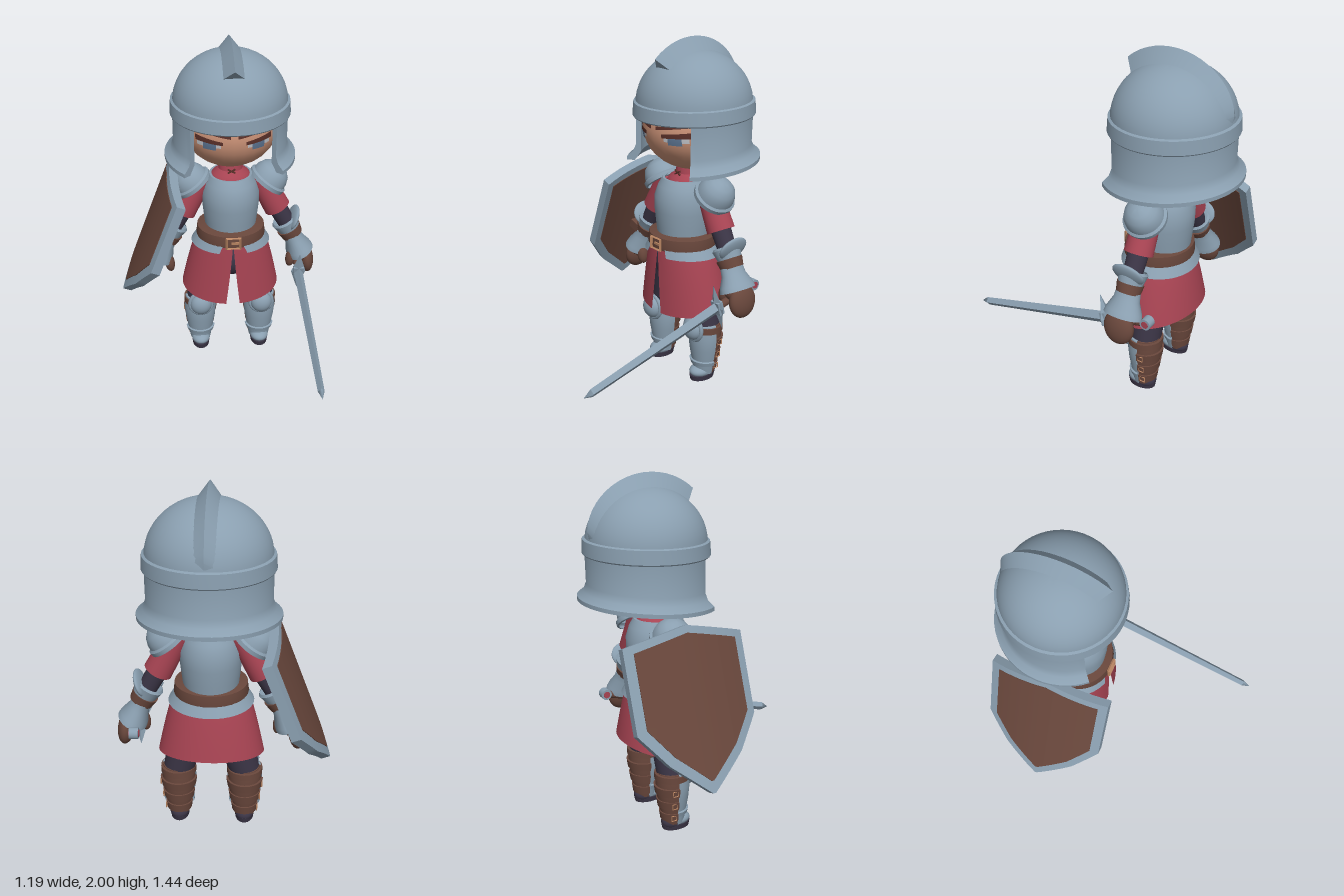
import * as THREE from 'three';
import { toCreasedNormals } from 'three/addons/utils/BufferGeometryUtils.js';
import { ParametricGeometry } from 'three/addons/geometries/ParametricGeometry.js';

const mat = (name, color) => new THREE.MeshStandardMaterial({ name, color, side: THREE.DoubleSide });
const V = (x, y, z) => new THREE.Vector3(x, y, z);
const mix = THREE.MathUtils.lerp;

export function createModel() {
  const steel = mat('steel', 0x8a9fb0), red = mat('red cloth', 0xa84453), leather = mat('leather', 0x69473c);
  const navy = mat('dark cloth', 0x3b3546), skin = mat('skin', 0xcb9277), copper = mat('copper', 0xb58260);
  const white = mat('eye white', 0xc4c6cc), iris = mat('iris', 0x5f7896), hair = mat('brow brown', 0x5a3029);

  const model = new THREE.Group();
  model.name = 'knight';
  const group = (name, x, y, z, parent = model) => {
    const g = new THREE.Group();
    g.name = name;
    g.position.set(x, y, z);
    parent.add(g);
    return g;
  };
  const add = (parent, name, geo, material, x = 0, y = 0, z = 0) => {
    const m = new THREE.Mesh(geo, material);
    m.name = name;
    m.position.set(x, y, z);
    parent.add(m);
    return m;
  };
  // Turned profile of [radius, height] pairs, optionally only part of the way round
  const lathe = (pts, start = 0, sweep = Math.PI * 2, segs = 40, crease = 0.6) =>
    toCreasedNormals(new THREE.LatheGeometry(pts.map(p => new THREE.Vector2(...p)), segs, start, sweep), crease);
  const ball = (parent, name, material, c, r) => {
    const m = add(parent, name, new THREE.SphereGeometry(1, 28, 18), material, ...c);
    m.scale.set(...r);
    return m;
  };
  const surface = (fn, nu, nv, crease = 0.6) => toCreasedNormals(new ParametricGeometry(fn, nu, nv), crease);
  // Points a mesh's own y axis from p towards q
  const aim = (mesh, p, q) => {
    mesh.position.copy(p);
    mesh.quaternion.setFromUnitVectors(V(0, 1, 0), q.clone().sub(p).normalize());
    return mesh;
  };
  const limb = (parent, name, material, p, q, r0, r1) => {
    const len = p.distanceTo(q);
    return aim(add(parent, name, lathe([[0, 0], [r0, 0], [r1, len], [0, len]], 0, Math.PI * 2, 24), material), p, q);
  };
  const frame = (parent, name, x, y, z, r, tube) => {
    const geo = new THREE.TorusGeometry(r, tube, 4, 4).rotateZ(Math.PI / 4);
    return add(parent, name, toCreasedNormals(geo, 0.3), copper, x, y, z);
  };

  // ---- Head and face ----
  const head = group('head', 0.08, 0, -0.34);
  ball(head, 'face', skin, [0, 1.5, 0], [0.28, 0.245, 0.29]);
  const patch = (name, material, s, a, b, lift) => add(head, name, surface((u, v, t) => {
    const x = s * mix(a[0], b[0], u), y = mix(mix(a[1], b[1], u), mix(a[2], b[2], u), v);
    t.set(x, y, lift + 0.29 * Math.sqrt(1 - (x / 0.28) ** 2 - ((y - 1.5) / 0.245) ** 2));
  }, 8, 3), material);
  for (const s of [-1, 1]) {
    ball(head, 'ear', skin, [s * 0.275, 1.41, 0], [0.03, 0.055, 0.04]);
    patch('eyeWhite', white, s, [0.075, 1.46, 1.495], [0.2, 1.462, 1.505], 0.002);
    patch('iris', iris, s, [0.1, 1.445, 1.5], [0.17, 1.445, 1.5], 0.004);
    patch('upperLid', hair, s, [0.065, 1.48, 1.5], [0.21, 1.49, 1.522], 0.006);
    patch('brow', hair, s, [0.02, 1.518, 1.536], [0.22, 1.55, 1.565], 0.004);
  }

  // ---- Helmet ----
  const dome = [];
  for (let i = 0; i <= 14; i++) {
    const a = i / 14 * Math.PI / 2;
    dome.push([0.328 * Math.cos(a), 1.63 + 0.3 * Math.sin(a)]);
  }
  add(head, 'helmetDome', lathe(dome, 0, Math.PI * 2, 48), steel);
  const shear = (geo, k) => geo.applyMatrix4(new THREE.Matrix4().set(1, 0, 0, 0, 0, 1, -k, 0, 0, 0, 1, 0, 0, 0, 0, 1));
  add(head, 'helmetBand', shear(lathe([[0.27, 1.572], [0.34, 1.568], [0.345, 1.575], [0.34, 1.648], [0.322, 1.656]],
    0, Math.PI * 2, 48), 0.035), steel);
  const guard = [[0.335, 1.3], [0.38, 1.303], [0.38, 1.325], [0.345, 1.355], [0.329, 1.395], [0.33, 1.59],
    [0.3, 1.59], [0.3, 1.35], [0.335, 1.3]];
  const open = 0.81;
  add(head, 'helmetGuard', shear(lathe(guard, open, Math.PI * 2 - 2 * open, 44), 0.083), steel);
  for (const s of [-1, 1]) {
    const cap = new THREE.ShapeGeometry(new THREE.Shape(guard.map(p => new THREE.Vector2(...p))));
    add(head, 'cheekEdge', shear(cap.rotateY(s > 0 ? open - Math.PI / 2 : -open - Math.PI / 2), 0.083), steel);
  }
  // Ridged crest running over the dome, with an upright front end
  add(head, 'crest', surface((u, v, t) => {
    const w = Math.max(0, v - 1 / 20) / 0.95, a = 0.79 + w * 2.2, side = 2 * u - 1;
    const h = v === 0 || Math.abs(side) > 0.5 ? -0.012 : 0.074 * Math.max(0, Math.cos(w * Math.PI / 2)) ** 0.6;
    t.set(side * 0.062, 1.63 + (0.3 + h) * Math.sin(a), (0.328 + h) * Math.cos(a));
  }, 2, 20), steel);

  // ---- Torso ----
  const body = group('body', 0.08, 0, 0);
  const ring = (name, pts, material, z, sz) => {
    const m = add(body, name, lathe(pts), material, 0, 0, z);
    m.scale.z = sz;
    return m;
  };
  ring('shirt', [[0.14, 0.86], [0.155, 1.05], [0.13, 1.17], [0.105, 1.212], [0.07, 1.235], [0.062, 1.29]], red, -0.3, 0.92);
  ring('breastplate', [[0.15, 0.86], [0.158, 0.93], [0.168, 1.02], [0.17, 1.1], [0.15, 1.165], [0.125, 1.208],
    [0.112, 1.208]], steel, -0.285, 1.05);
  ring('belt', [[0.14, 0.895], [0.14, 0.81], [0.203, 0.812], [0.206, 0.83], [0.2, 0.883], [0.14, 0.895]], leather, -0.27, 0.94);
  frame(body, 'beltBuckle', 0, 0.847, -0.073, 0.056, 0.01).scale.y = 0.85;
  add(body, 'bucklePin', new THREE.BoxGeometry(0.05, 0.012, 0.01), copper, 0.012, 0.847, -0.075);
  for (const s of [-1, 1]) {
    add(body, 'collarLace', new THREE.BoxGeometry(0.05, 0.008, 0.008), hair, 0, 1.24, -0.228).rotation.z = s * 0.5;
  }
  // Open-fronted flared cloth and plates; v runs from the waist down
  const flare = (name, material, g0, g1, r0, r1, z0, z1, yTop, yLow, tilt, power) => add(body, name, surface((u, v, t) => {
    const gap = mix(g0, g1, v), a = gap + u * (Math.PI * 2 - 2 * gap), k = v ** power;
    t.set(Math.sin(a) * mix(r0[0], r1[0], k), mix(yTop, yLow - tilt * Math.cos(a), v),
      mix(z0, z1, k) + Math.cos(a) * mix(r0[1], r1[1], k));
  }, 48, 10), material);
  flare('skirt', red, 0.005, 0.14, [0.195, 0.182], [0.295, 0.222], -0.27, -0.3, 0.83, 0.465, 0.045, 0.75);
  flare('hipPlates', steel, 0.3, 0.36, [0.203, 0.19], [0.236, 0.212], -0.27, -0.278, 0.825, 0.772, -0.005, 1);
  ball(body, 'hips', navy, [0, 0.67, -0.29], [0.19, 0.14, 0.155]);

  for (const s of [-1, 1]) {
    const side = s > 0 ? 'left' : 'right';
    const P = (x, y, z = -0.31) => V(s * x, y, z);

    // ---- Arm ----
    const arm = group(side + 'Arm', 0, 0, 0, body);
    limb(arm, 'sleeve', red, P(0.284, 0.955), P(0.16, 1.19), 0.08, 0.07);
    limb(arm, 'undersleeve', navy, P(0.355, 0.83), P(0.25, 1.02), 0.052, 0.06);
    const pauldron = lathe([[0.108, -0.015], [0.119, -0.012], [0.121, 0.012], [0.108, 0.022], [0.104, 0.05], [0.088, 0.085],
      [0.058, 0.112], [0.025, 0.124], [0, 0.126]], 0, Math.PI * 2, 32, 0.7);
    aim(add(arm, 'pauldron', pauldron, steel), P(0.22, 1.137), P(0.294, 1.237));
    const bracer = lathe([[0.05, 0], [0.062, 0], [0.07, 0.05], [0.083, 0.1], [0.072, 0.112]], 0, Math.PI * 2, 24);
    aim(add(arm, 'bracer', bracer, steel), P(0.382, 0.775), P(0.312, 0.9));
    const wing = ball(arm, 'elbowWing', steel, [0, 0, 0], [0.022, 0.075, 0.095]);
    aim(wing, P(0.385, 0.878), P(0.415, 0.95));
    limb(arm, 'wristStrap', leather, P(0.384, 0.763), P(0.358, 0.81), 0.066, 0.075);
    const cuff = lathe([[0.06, 0], [0.086, 0], [0.08, 0.03], [0.058, 0.09], [0.054, 0.135], [0, 0.135]], 0, Math.PI * 2, 24);
    aim(add(arm, 'gauntletCuff', cuff, steel), P(0.435, 0.647), P(0.378, 0.77)).scale.z = 1.3;
    ball(arm, 'palm', leather, [s * 0.435, 0.645, -0.31], [0.062, 0.06, 0.085]);
    ball(arm, 'fingers', leather, [s * 0.473, 0.595, -0.31], [0.047, 0.098, 0.09]).rotation.z = s * 0.12;
    ball(arm, 'thumb', leather, [s * 0.372, 0.618, -0.27], [0.03, 0.06, 0.036]).rotation.z = s * -0.15;

    // ---- Leg ----
    const leg = group(side + 'Leg', s * 0.188, 0, -0.302, body);
    limb(leg, 'thigh', navy, V(0, 0.33, 0), V(-s * 0.085, 0.67, 0.01), 0.085, 0.115);
    const shin = [[0.058, 0.04], [0.07, 0.11], [0.086, 0.2], [0.094, 0.28], [0.086, 0.36], [0.07, 0.365]];
    const grown = shin.map(([r, y]) => [r + 0.006, y]);
    add(leg, 'greave', lathe(grown, -Math.PI / 2, Math.PI, 20), steel);
    add(leg, 'bootBack', lathe(shin, Math.PI / 2, Math.PI, 20), leather);
    [[0.09, 0.066], [0.17, 0.08], [0.255, 0.093]].forEach(([y, r]) => {
      add(leg, 'bootBand', lathe([[r - 0.01, y - 0.025], [r + 0.005, y - 0.025], [r + 0.012, y + 0.024], [r - 0.005, y + 0.026]],
        Math.PI / 2, Math.PI, 20), leather);
      frame(leg, 'bootBuckle', s * (r + 0.006), y, -0.025, 0.021, 0.004).rotation.y = Math.PI / 2;
    });
    add(leg, 'kneeStrap', lathe([[0.08, 0.315], [0.1, 0.315], [0.1, 0.352], [0.08, 0.355]], 0, Math.PI * 2, 28), leather);
    ball(leg, 'kneeCap', steel, [0, 0.345, 0.1], [0.066, 0.07, 0.052]);
    const rim = add(leg, 'kneeRim', new THREE.TorusGeometry(0.068, 0.013, 8, 28), steel, 0, 0.345, 0.095);
    rim.scale.y = 1.06;
    add(leg, 'ankleRim', lathe([[0.07, 0.095], [0.083, 0.1], [0.09, 0.125], [0.07, 0.132]], -Math.PI / 2, Math.PI, 20), steel);
    const sole = add(leg, 'sole', new THREE.CylinderGeometry(0.056, 0.052, 0.03, 28), navy, 0, 0.015, 0.018);
    sole.scale.z = 1.55;
    ball(leg, 'heel', navy, [0, 0.04, -0.005], [0.055, 0.045, 0.064]);
    ball(leg, 'toePlate', steel, [0, 0.05, 0.03], [0.058, 0.038, 0.074]);
  }

  // ---- Shield: rows widen from the tip, then bow inwards at both edges ----
  const shield = group('shield', -0.537, 0.414, -0.293);
  shield.rotation.z = -0.36;
  const halfWidth = b => b < 0.222 ? mix(0.008, 0.21, b / 0.222) : b < 0.444 ? mix(0.21, 0.345, (b - 0.222) / 0.222) : 0.345;
  const slab = (thick, wide, low, tall) => {
    const geo = new THREE.BoxGeometry(1, 1, 2, 1, 18, 14), p = geo.attributes.position;
    for (let i = 0; i < p.count; i++) {
      const a = p.getZ(i), b = p.getY(i) + 0.5, u = a * halfWidth(b) * wide;
      const v = low + tall * (0.81 * b + 0.07 * b ** 3 * (1 - Math.abs(a)));
      p.setXYZ(i, -0.027 + p.getX(i) * thick + 0.058 * (u / 0.345) ** 2, v, u);
    }
    return toCreasedNormals(geo, 0.5);
  };
  add(shield, 'shieldRim', slab(0.052, 1, 0, 1), steel);
  add(shield, 'shieldPanel', slab(0.06, 0.855, 0.065, 0.88), leather);
  add(shield, 'shieldStrap', new THREE.BoxGeometry(0.1, 0.05, 0.1), leather, 0.045, 0.42, 0);

  // ---- Sword ----
  const sword = group('sword', 0.49, 0.568, -0.185);
  sword.rotation.x = 0.265;
  const diamond = (name, r1, r0, z, len) => {
    const geo = toCreasedNormals(new THREE.CylinderGeometry(r1, r0, len, 4), 0.2).rotateX(Math.PI / 2);
    add(sword, name, geo, steel, 0, 0, z + len / 2).scale.set(0.027, 0.037, 1);
  };
  diamond('blade', 0.7, 1, 0, 0.885);
  diamond('bladeTip', 0.01, 0.7, 0.885, 0.05);
  add(sword, 'crossguard', new THREE.OctahedronGeometry(1), steel).scale.set(0.045, 0.145, 0.026);
  add(sword, 'guardBlock', new THREE.BoxGeometry(0.06, 0.08, 0.035), steel);
  add(sword, 'grip', new THREE.CylinderGeometry(0.022, 0.022, 0.25, 16).rotateX(Math.PI / 2), leather, 0, 0, -0.125);
  add(sword, 'pommel', new THREE.CylinderGeometry(0.032, 0.032, 0.05, 20).rotateZ(Math.PI / 2), steel, 0, 0, -0.27);
  add(sword, 'pommelInlay', new THREE.CylinderGeometry(0.02, 0.02, 0.056, 20).rotateZ(Math.PI / 2), red, 0, 0, -0.27);
  return model;
}
